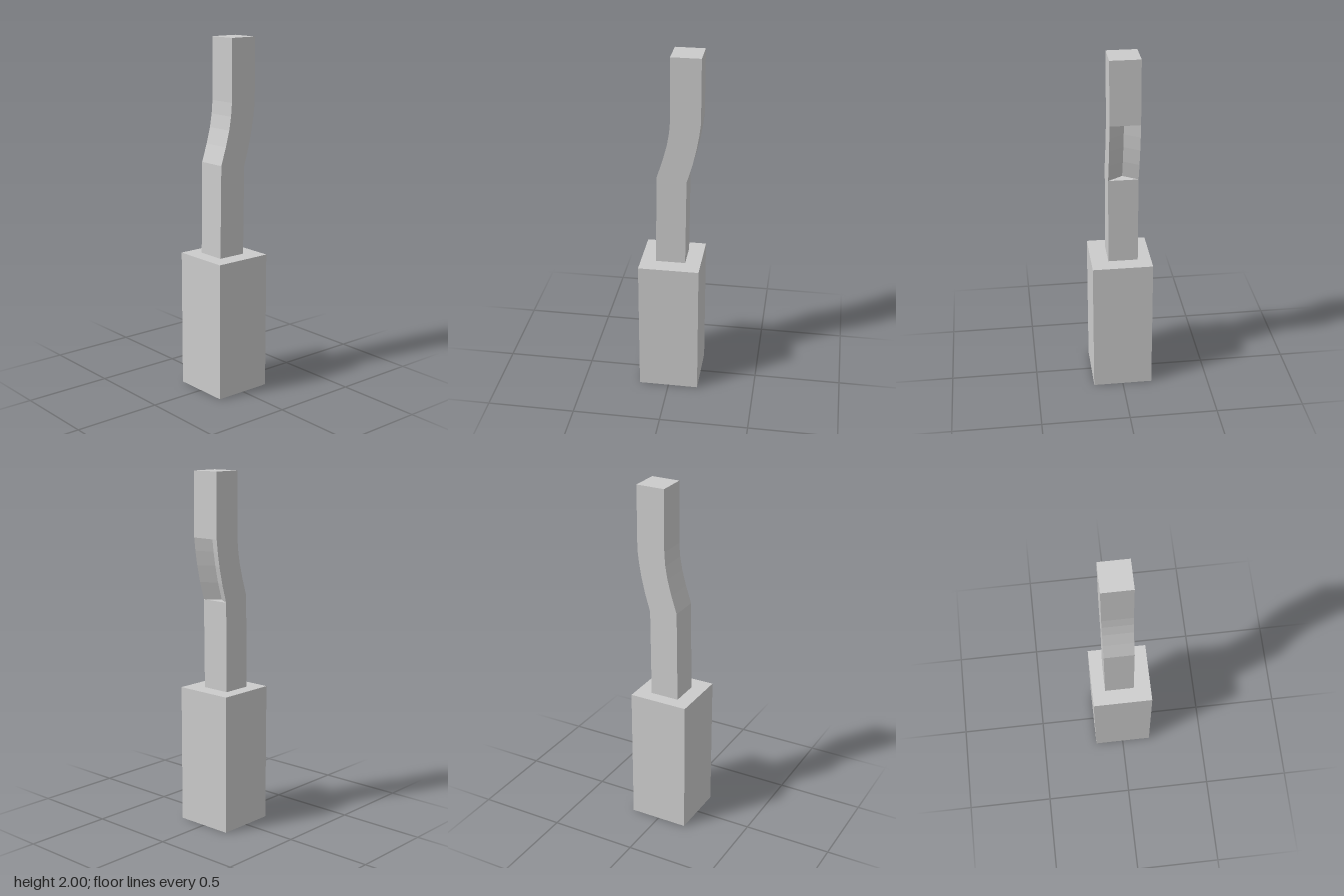
import * as THREE from 'three';

const material = new THREE.MeshStandardMaterial({
  color: 0xcccccc, flatShading: true, side: THREE.DoubleSide,
});

// Hollow block, open underneath
function createBase() {
  const geometry = new THREE.BoxGeometry(0.34, 0.785, 0.342);
  const index = Array.from(geometry.index.array);
  index.splice(18, 6); // drop the bottom face
  geometry.setIndex(index);
  geometry.translate(0, 0.3925, 0);
  const base = new THREE.Mesh(geometry, material);
  base.name = 'base';
  return base;
}

// Bent square bar with a V-shaped groove along the back of the bend
function createArm() {
  const left = 0.072, right = -0.095, middle = (left + right) / 2;
  const groove = 0.055;
  // front z, front y, back z, back y, groove depth
  const stations = [
    [0.085, 0.785, -0.082, 0.785, 0],
    [0.078, 1.31, -0.087, 1.29, 0],
    [0.078, 1.31, -0.087, 1.29, groove],
    [0.046, 1.41, -0.117, 1.39, groove],
    [0.022, 1.5, -0.139, 1.485, groove],
    [0.009, 1.575, -0.153, 1.565, groove],
    [0.003, 1.65, -0.162, 1.64, groove],
    [0.003, 1.65, -0.162, 1.64, 0],
    [0.003, 2, -0.162, 2, 0],
  ];
  const positions = [], index = [], n = 5;
  stations.forEach(([zf, yf, zb, yb, depth], k) => {
    positions.push(
      right, yf, zf, left, yf, zf,
      left, yb, zb, middle, yb, zb + depth, right, yb, zb,
    );
    if (k === 0) return;
    for (let i = 0; i < n; i++) {
      const a = (k - 1) * n + i, b = (k - 1) * n + (i + 1) % n;
      index.push(a, b, b + n, a, b + n, a + n);
    }
  });
  // Top cap
  const t = (stations.length - 1) * n;
  index.push(t, t + 1, t + 2, t, t + 2, t + 4);

  const geometry = new THREE.BufferGeometry();
  geometry.setAttribute('position', new THREE.Float32BufferAttribute(positions, 3));
  geometry.setIndex(index);
  const flat = geometry.toNonIndexed();
  flat.computeVertexNormals();
  const arm = new THREE.Mesh(flat, material);
  arm.name = 'bentArm';
  return arm;
}

export function createModel() {
  const model = new THREE.Group();
  model.name = 'bentPost';
  model.add(createBase(), createArm());
  return model;
}
